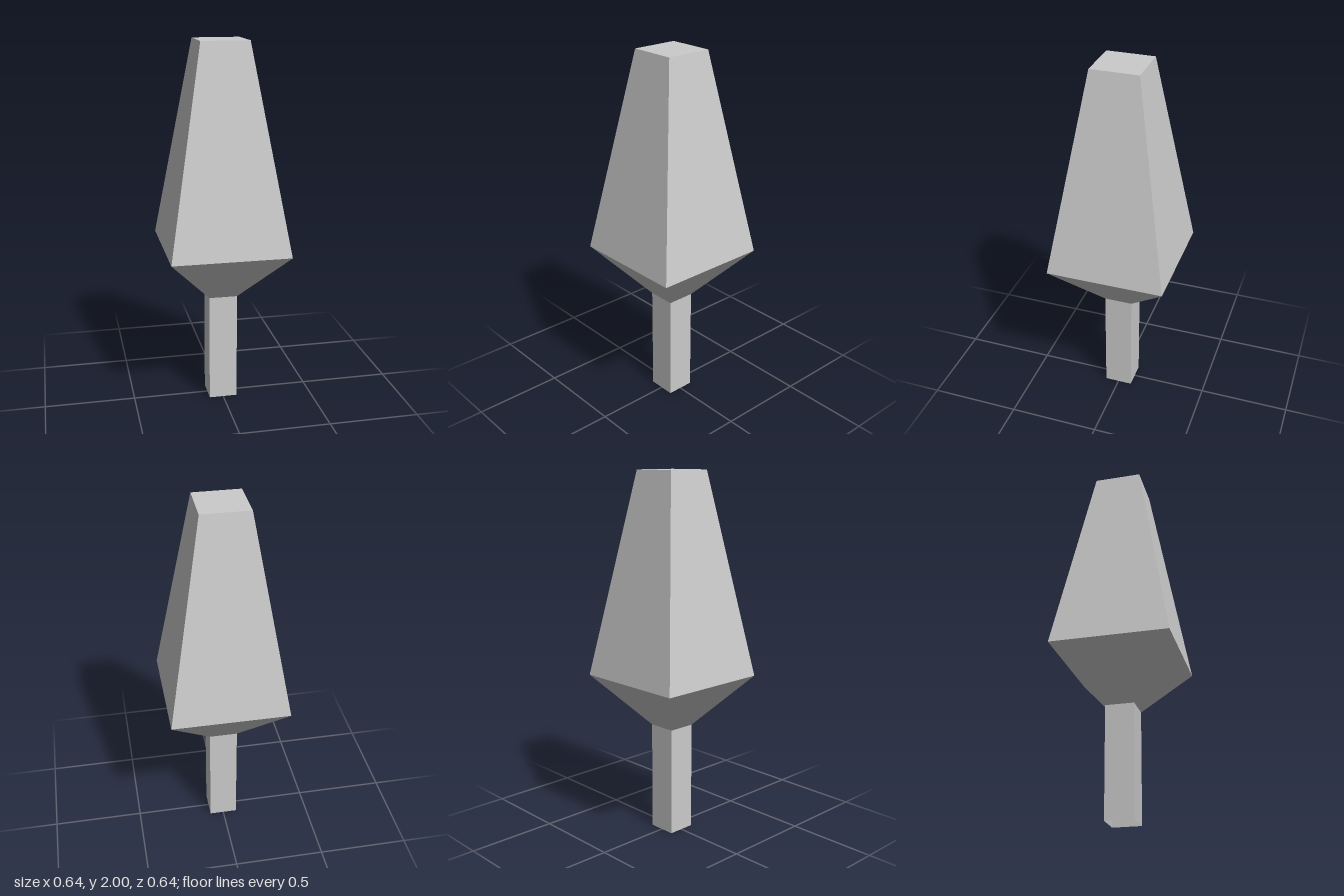
import * as THREE from 'three';

const material = new THREE.MeshStandardMaterial({
  color: 0xcccccc, flatShading: true, side: THREE.DoubleSide,
});

// Square tapered section; half widths are measured across the flats
function section(name, y0, y1, half0, half1, open) {
  const geometry = new THREE.CylinderGeometry(
    half1 * Math.SQRT2, half0 * Math.SQRT2, y1 - y0, 4, 1, open);
  geometry.rotateY(Math.PI / 4);
  geometry.translate(0, (y0 + y1) / 2, 0);
  const mesh = new THREE.Mesh(geometry, material);
  mesh.name = name;
  return mesh;
}

export function createModel() {
  const tree = new THREE.Group();
  tree.name = 'tree';

  // Trunk: hollow square post, open at the foot
  tree.add(section('trunk', 0, 0.607, 0.078, 0.078, true));

  // Foliage: short flare below, tall taper above, flat top
  const foliage = new THREE.Group();
  foliage.name = 'foliage';
  foliage.add(section('lowerFoliage', 0.607, 0.892, 0.078, 0.321, true));
  foliage.add(section('upperFoliage', 0.892, 2, 0.321, 0.129, true));
  const top = new THREE.Mesh(new THREE.PlaneGeometry(0.258, 0.258), material);
  top.name = 'foliageTop';
  top.rotation.x = -Math.PI / 2;
  top.position.y = 2;
  foliage.add(top);
  tree.add(foliage);

  return tree;
}
